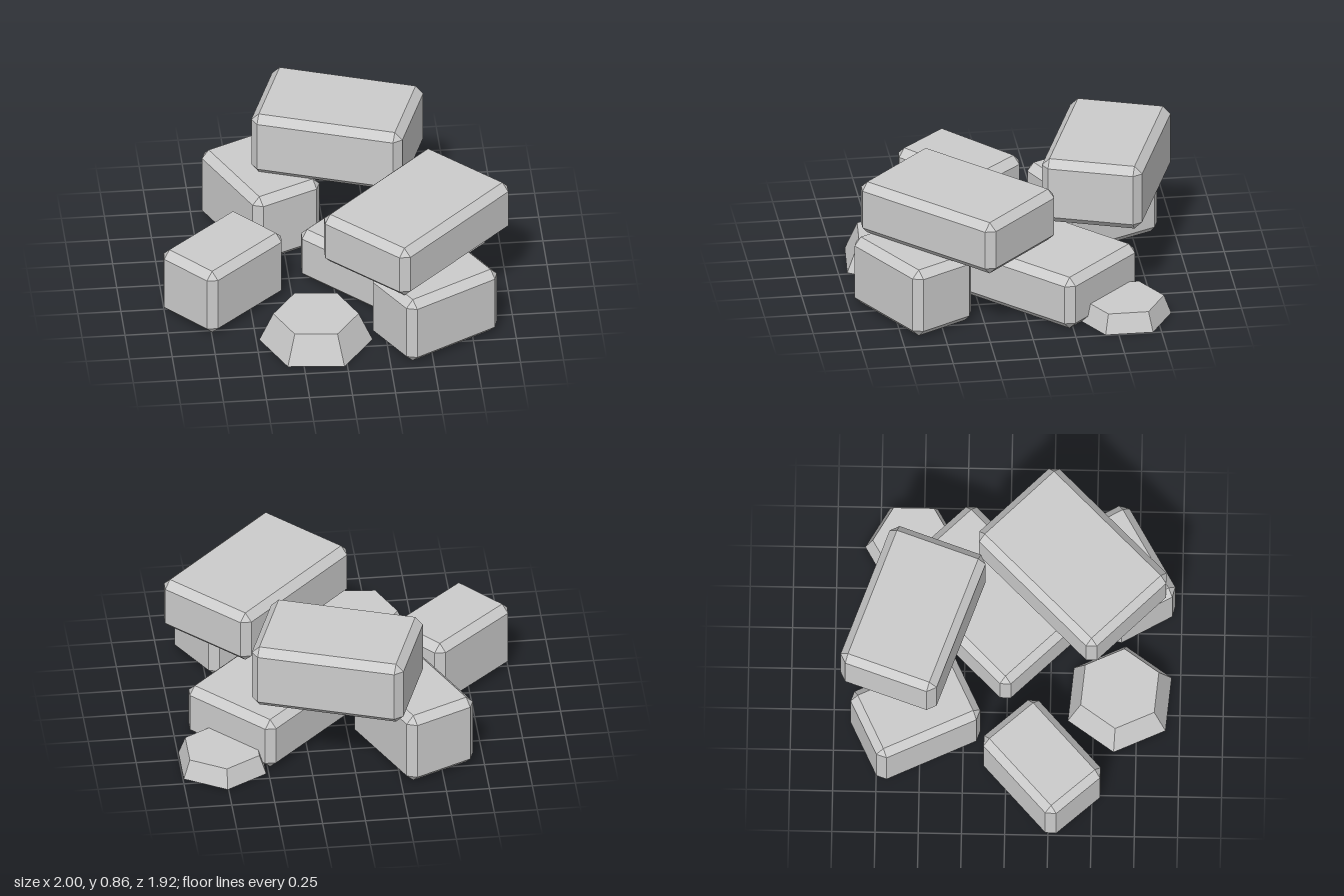
import * as THREE from 'three';
import { ConvexGeometry } from 'three/addons/geometries/ConvexGeometry.js';

const BEVEL = 0.045;

// Box with every edge cut by one flat bevel, standing on y = 0
function bevelledBlock(w, h, d, b = BEVEL) {
  const points = [];
  for (const sx of [-1, 1]) for (const sy of [-1, 1]) for (const sz of [-1, 1]) {
    const x = w / 2, y = h / 2, z = d / 2;
    points.push(
      new THREE.Vector3(sx * x, sy * (y - b), sz * (z - b)),
      new THREE.Vector3(sx * (x - b), sy * y, sz * (z - b)),
      new THREE.Vector3(sx * (x - b), sy * (y - b), sz * z)
    );
  }
  return new ConvexGeometry(points).translate(0, h / 2, 0);
}

// Six-sided tapered stone, open underneath
function hexStone(baseRadius, topRadius, height, turn) {
  const profile = [[baseRadius, 0], [topRadius, height], [0, height]];
  return new THREE.LatheGeometry(profile.map(([r, y]) => new THREE.Vector2(r, y)), 6, turn);
}

export function createModel() {
  const model = new THREE.Group();
  model.name = 'stonePile';
  const blockMaterial = new THREE.MeshStandardMaterial({ color: 0xcccccc, flatShading: true });
  const stoneMaterial = blockMaterial.clone();
  stoneMaterial.side = THREE.DoubleSide;

  const add = (name, geometry, material, [x, y, z], turn = 0) => {
    const mesh = new THREE.Mesh(geometry, material);
    mesh.name = name;
    mesh.position.set(x, y, z);
    mesh.rotation.y = THREE.MathUtils.degToRad(turn);
    model.add(mesh);
  };

  // Blocks: name, size (width, height, depth), base position, turn in degrees
  const blocks = [
    ['looseBlock', [0.635, 0.423, 0.425], [-0.655, 0, 0.21], 42],
    ['backLeftBlock', [0.45, 0.45, 0.66], [-0.363, 0, -0.528], 25.4],
    ['middleBlock', [0.97, 0.327, 0.65], [0.367, 0, -0.12], 44.5],
    ['frontRightBlock', [0.64, 0.423, 0.425], [0.537, 0, 0.64], 29.8],
    ['frontTopBlock', [0.98, 0.326, 0.646], [0.455, 0.428, 0.367], 45],
    ['backTopBlock', [0.9, 0.4, 0.592], [0.084, 0.455, -0.55], -19.4],
  ];
  for (const [name, size, position, turn] of blocks) {
    add(name, bevelledBlock(...size), blockMaterial, position, turn);
  }

  // Low stones on the ground
  add('frontStone', hexStone(0.328, 0.247, 0.18, 0), stoneMaterial, [-0.155, 0, 0.65], 24.8);
  add('backStone', hexStone(0.277, 0.234, 0.116, 0), stoneMaterial, [0.755, 0, -0.562]);
  return model;
}
